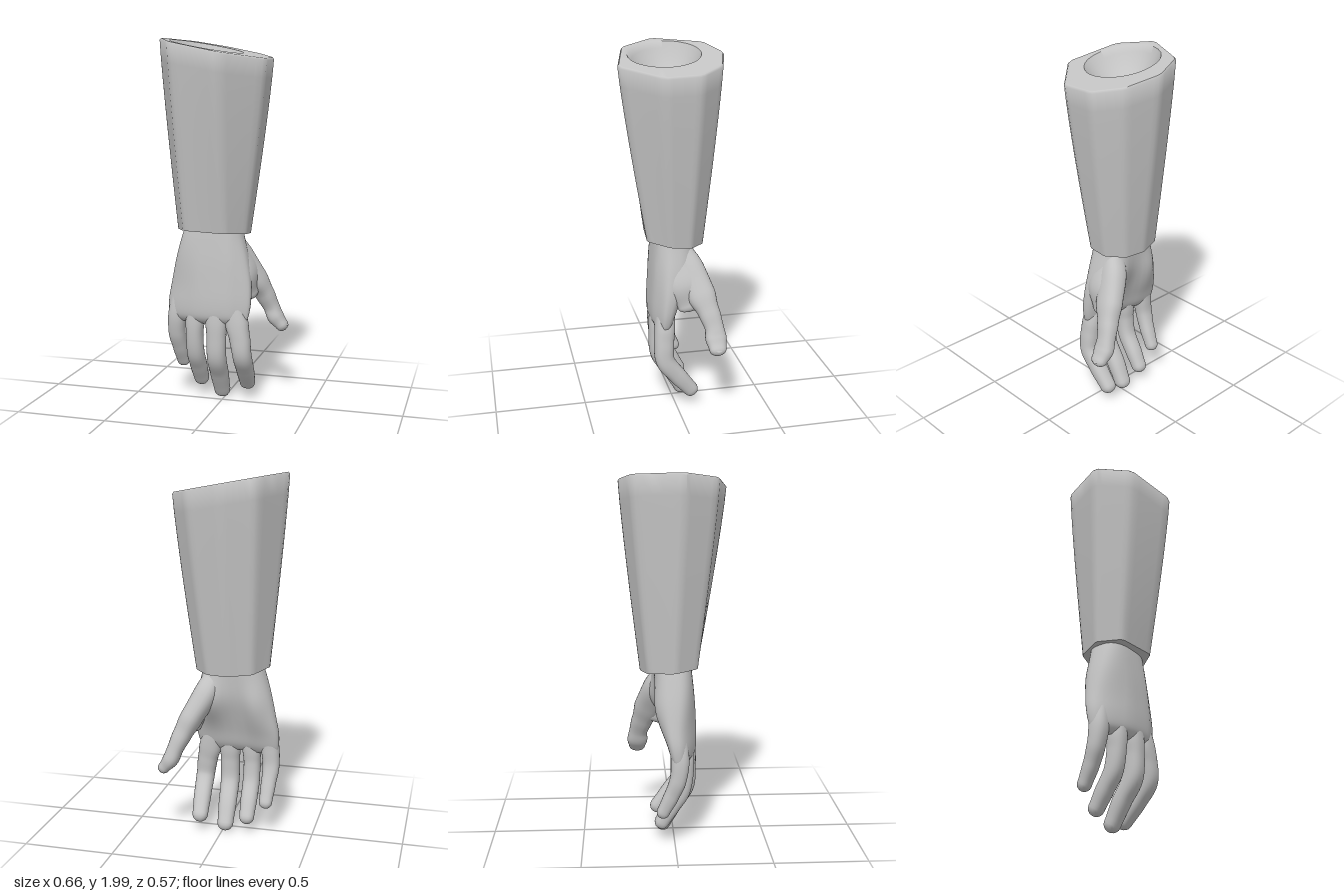
import * as THREE from 'three';
import { toCreasedNormals } from 'three/addons/utils/BufferGeometryUtils.js';

const grey = new THREE.MeshStandardMaterial({ color: 0xc4c4c4 });
grey.name = 'plain grey';

// Skin a list of rings (equal point counts) and close both ends
function loft(rings) {
  const n = rings[0].length, pos = [], idx = [];
  rings.forEach(r => r.forEach(p => pos.push(p.x, p.y, p.z)));
  for (let i = 0; i < rings.length - 1; i++) {
    for (let j = 0; j < n; j++) {
      const a = i * n + j, b = i * n + (j + 1) % n;
      idx.push(a, b, a + n, b, b + n, a + n);
    }
  }
  const cap = (k, flip) => {
    const c = new THREE.Vector3();
    rings[k].forEach(p => c.addScaledVector(p, 1 / n));
    const ci = pos.length / 3;
    pos.push(c.x, c.y, c.z);
    for (let j = 0; j < n; j++) {
      const a = k * n + j, b = k * n + (j + 1) % n;
      if (flip) idx.push(ci, b, a); else idx.push(ci, a, b);
    }
  };
  cap(0, true);
  cap(rings.length - 1, false);
  const g = new THREE.BufferGeometry();
  g.setAttribute('position', new THREE.Float32BufferAttribute(pos, 3));
  g.setIndex(idx);
  g.computeVertexNormals();
  return g;
}

const soft = (v, e) => Math.sign(v) * Math.abs(v) ** e;
const bump = (v, centre, width) => Math.exp(-(((v - centre) / width) ** 2));

// Rounded limb along points [x, y, z, half width, half depth]
function limb(points) {
  const side = new THREE.Vector3(1, 0, 0);
  const curve = new THREE.CatmullRomCurve3(points.map(p => new THREE.Vector3(p[0], p[1], p[2])), false, 'centripetal');
  const rings = [], steps = 30, last = points.length - 1;
  const ring = (u, forward, scale) => {
    const p = curve.getPoint(u), t = curve.getTangent(u);
    const k = Math.min(Math.floor(u * last), last - 1);
    const f = THREE.MathUtils.smoothstep(u * last - k, 0, 1);
    const rw = THREE.MathUtils.lerp(points[k][3], points[k + 1][3], f);
    const rd = THREE.MathUtils.lerp(points[k][4], points[k + 1][4], f);
    const w = side.clone().addScaledVector(t, -side.dot(t)).normalize();
    const d = new THREE.Vector3().crossVectors(t, w);
    p.addScaledVector(t, forward * Math.min(rw, rd));
    const out = [];
    for (let j = 0; j < 24; j++) {
      const a = j / 24 * Math.PI * 2;
      out.push(p.clone().addScaledVector(w, soft(Math.cos(a), 0.85) * rw * scale)
        .addScaledVector(d, soft(Math.sin(a), 0.85) * rd * scale));
    }
    rings.push(out);
  };
  for (let k = 4; k >= 1; k--) ring(0, -Math.sin(k * 0.36), Math.cos(k * 0.36));
  for (let i = 0; i <= steps; i++) ring(i / steps, 0, 1);
  for (let k = 1; k <= 4; k++) ring(1, Math.sin(k * 0.36), Math.cos(k * 0.36));
  return loft(rings);
}

// Eight-sided sleeve with softened corners, a slanted rim and a shallow bowl-shaped hollow
function cuffGeometry() {
  const top = [[0.26, -0.11], [0.26, 0.085], [0.052, 0.29], [-0.232, 0.223], [-0.34, 0.04], [-0.222, -0.225], [-0.042, -0.293], [0.15, -0.238]];
  const bottom = [[0.143, -0.08], [0.143, 0.03], [0.05, 0.143], [-0.183, 0.122], [-0.254, 0], [-0.183, -0.142], [-0.05, -0.183], [0.063, -0.162]];
  const subdivide = c => c.flatMap((p, i) => {
    const q = c[(i + 1) % c.length];
    return [0.07, 0.2, 0.4, 0.6, 0.8, 0.93].map(k => [p[0] + (q[0] - p[0]) * k, p[1] + (q[1] - p[1]) * k]);
  });
  const T = subdivide(top), B = subdivide(bottom);
  const rimY = (x, z) => 1.936 - 0.188 * x - 0.04 * z;
  const hemY = (x, z) => 0.953 + 0.09 * z - 0.03 * x;
  const rings = [];
  // hollow, from its off-centre floor up to the rim
  for (let k = 1; k <= 10; k++) {
    const s = k / 10;
    rings.push(T.map(([x, z]) => {
      const ang = Math.atan2(z - 0.02, x + 0.08);
      const px = -0.08 - 0.03 * (1 - s) + 0.197 * s * Math.cos(ang);
      const pz = 0.02 - 0.04 * (1 - s) + 0.195 * s * Math.sin(ang);
      return new THREE.Vector3(px, rimY(px, pz) - 0.17 * (1 - s ** 2), pz);
    }));
  }
  // flat rim with a narrow bevel
  for (const k of [0.94, 0.975]) rings.push(T.map(([x, z]) => new THREE.Vector3(x * k, rimY(x * k, z * k), z * k)));
  // outer wall
  for (let k = 0; k <= 10; k++) {
    const t = k / 10, e = t ** 1.15;
    rings.push(T.map(([x, z], j) => {
      const y0 = rimY(x, z) - 0.01, y1 = hemY(B[j][0], B[j][1]);
      return new THREE.Vector3(x + (B[j][0] - x) * e, y0 + (y1 - y0) * t, z + (B[j][1] - z) * e);
    }));
  }
  return toCreasedNormals(loft(rings), 0.95);
}

// Back of the hand and palm: sections [y, xMin, xMax, zFront, zBack]
function palmGeometry() {
  const rows = [
    [1.0, -0.2, 0.105, 0.09, -0.11], [0.92, -0.225, 0.122, 0.1, -0.105], [0.8, -0.258, 0.152, 0.112, -0.085],
    [0.68, -0.284, 0.172, 0.12, -0.05], [0.58, -0.302, 0.175, 0.125, -0.02], [0.51, -0.302, 0.166, 0.122, 0],
    [0.475, -0.294, 0.152, 0.108, 0.018], [0.455, -0.27, 0.125, 0.085, 0.035]
  ];
  const widths = new THREE.CatmullRomCurve3(rows.map(r => new THREE.Vector3(r[1], r[0], r[2])), false, 'catmullrom');
  const depths = new THREE.CatmullRomCurve3(rows.map(r => new THREE.Vector3(r[3], r[0], r[4])), false, 'catmullrom');
  const rings = [];
  for (let i = 0; i <= 42; i++) {
    const { x: x0, y, z: x1 } = widths.getPoint(i / 42);
    const { x: zf, z: zb } = depths.getPoint(i / 42);
    const arch = 1 - THREE.MathUtils.smoothstep(y, 0.6, 0.95);
    const ring = [];
    for (let j = 0; j < 48; j++) {
      const a = j / 48 * Math.PI * 2, s = Math.sin(a);
      const x = (x0 + x1) / 2 + soft(Math.cos(a), 0.75) * (x1 - x0) / 2;
      let z = (zf + zb) / 2 + soft(s, 0.75) * (zf - zb) / 2;
      // fleshy mounds below the thumb and the little finger
      if (s < 0) z += s * (0.035 * bump(x, -0.19, 0.08) * bump(y, 0.74, 0.15) + 0.07 * bump(x, 0.08, 0.09) * bump(y, 0.77, 0.13));
      // back of the hand falls away towards the thumb
      else z -= 0.3 * Math.max(0, x - 0.07) * s;
      // the little-finger side is set back
      z -= 0.25 * Math.max(0, -0.1 - x) * arch;
      ring.push(new THREE.Vector3(x, y, z));
    }
    rings.push(ring);
  }
  return loft(rings);
}

export function createModel() {
  const model = new THREE.Group();
  model.name = 'handAndForearm';
  const add = (name, geometry) => {
    const mesh = new THREE.Mesh(geometry, grey);
    mesh.name = name;
    model.add(mesh);
    return mesh;
  };
  add('forearmCuff', cuffGeometry());
  add('palm', palmGeometry());

  // Four fingers bent backwards at the middle joint, then the thumb and its web
  const limbs = {
    indexFinger: [[0.075, 0.62, 0.045, 0.045, 0.05], [0.1, 0.46, 0.06, 0.063, 0.057], [0.118, 0.38, 0.066, 0.056, 0.055], [0.13, 0.285, 0.062, 0.051, 0.053], [0.13, 0.19, -0.005, 0.048, 0.049], [0.125, 0.094, -0.083, 0.043, 0.042]],
    middleFinger: [[-0.025, 0.62, 0.06, 0.045, 0.05], [-0.014, 0.46, 0.07, 0.058, 0.056], [-0.012, 0.38, 0.074, 0.053, 0.053], [-0.013, 0.265, 0.066, 0.052, 0.052], [-0.015, 0.16, 0.003, 0.05, 0.048], [-0.015, 0.045, -0.058, 0.044, 0.042]],
    ringFinger: [[-0.125, 0.62, 0.048, 0.042, 0.05], [-0.139, 0.46, 0.056, 0.051, 0.053], [-0.142, 0.38, 0.056, 0.046, 0.05], [-0.142, 0.275, 0.037, 0.047, 0.049], [-0.141, 0.19, -0.014, 0.046, 0.046], [-0.14, 0.1, -0.068, 0.041, 0.04]],
    littleFinger: [[-0.235, 0.62, 0.015, 0.042, 0.048], [-0.252, 0.48, 0.025, 0.05, 0.05], [-0.259, 0.38, 0.014, 0.046, 0.045], [-0.252, 0.29, -0.02, 0.041, 0.041], [-0.246, 0.197, -0.065, 0.036, 0.035]],
    thumb: [[0.04, 0.92, -0.035, 0.055, 0.06], [0.09, 0.8, -0.085, 0.066, 0.08], [0.156, 0.68, -0.13, 0.06, 0.08], [0.2, 0.59, -0.165, 0.051, 0.06], [0.235, 0.51, -0.188, 0.043, 0.052], [0.257, 0.455, -0.193, 0.044, 0.058], [0.295, 0.405, -0.195, 0.034, 0.047]],
    thumbWeb: [[0.085, 0.88, -0.02, 0.035, 0.06], [0.13, 0.73, -0.05, 0.052, 0.1], [0.152, 0.62, -0.085, 0.034, 0.08]]
  };
  for (const [name, points] of Object.entries(limbs)) add(name, limb(points));

  // Thumb nail
  const nail = add('thumbNail', new THREE.SphereGeometry(1, 16, 12));
  nail.scale.set(0.005, 0.024, 0.026);
  nail.position.set(0.316, 0.42, -0.195);
  nail.rotation.z = 0.69;
  return model;
}
